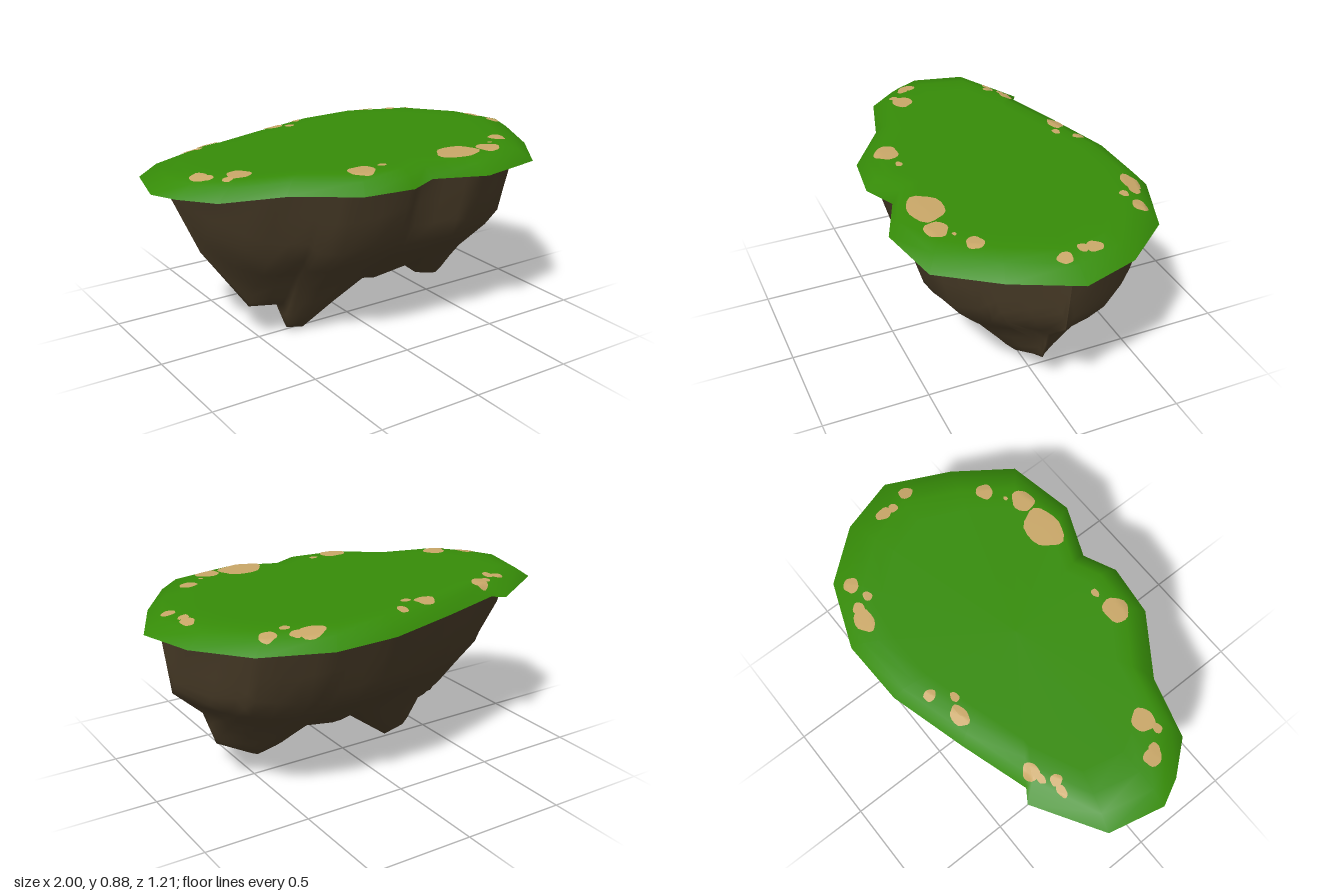
import * as THREE from 'three';

const RIM_Y = 0.805;
// Grass outline as x, z: along the back from left tip to right tip, then back along the front
const OUTLINE = [[-1, 0.01], [-0.94, -0.25], [-0.63, -0.44], [-0.57, -0.4], [-0.25, -0.5], [0.11, -0.6],
  [0.42, -0.61], [0.73, -0.49], [0.92, -0.26], [1, 0], [0.86, 0.29], [0.68, 0.54], [0.36, 0.6],
  [0.12, 0.5], [-0.03, 0.57], [-0.27, 0.54], [-0.54, 0.355], [-0.82, 0.275], [-0.94, 0.13]];
// The same outline without the notch, for the inner rings
const CORE = OUTLINE.map((p, i) => (i === 2 ? [-0.62, -0.4] : p));
// Grass height at each fraction of the outline
const GRASS = [[0, 0.875], [0.72, 0.875], [0.83, 0.874], [0.92, 0.857], [1, RIM_Y]];

// Rock rim: x as a fraction of the half length, z as is
const MID_Z = 0.02;
const ROCK_BACK = [[-1, MID_Z], [-0.91, -0.21], [-0.63, -0.35], [-0.27, -0.455], [0.12, -0.54],
  [0.46, -0.55], [0.76, -0.465], [0.95, -0.25], [1, MID_Z]];
const ROCK_FRONT = [[-1, MID_Z], [-0.93, 0.12], [-0.81, 0.25], [-0.54, 0.325], [-0.27, 0.49], [-0.03, 0.52],
  [0.13, 0.46], [0.37, 0.54], [0.68, 0.48], [0.86, 0.26], [1, MID_Z]];
// Rock's lower edge as x, y
const KEEL = [[-0.93, 0.81], [-0.79, 0.5], [-0.56, 0.18], [-0.4, 0.15], [-0.36, 0.02], [-0.27, 0.0],
  [0, 0.2], [0.1, 0.175], [0.3, 0.21], [0.41, 0.125], [0.5, 0.1], [0.68, 0.2], [0.74, 0.37],
  [0.88, 0.5], [0.92, 0.81]];
// Rock's half length to each side and relative width, by height
const REACH_LEFT = [[0.18, 0.56], [0.5, 0.79], [0.81, 0.93]];
const REACH_RIGHT = [[0.2, 0.68], [0.37, 0.74], [0.5, 0.88], [0.81, 0.92]];
const WIDTH = [[0, 0.14], [0.09, 0.28], [0.31, 0.5], [0.42, 0.7], [0.47, 0.81], [0.81, 1]];

// Linear interpolation in a list of [input, output]
function lerpTable(table, x) {
  let i = 1;
  while (i < table.length - 1 && x > table[i][0]) i++;
  const [x0, y0] = table[i - 1], [x1, y1] = table[i];
  return y0 + (y1 - y0) * THREE.MathUtils.clamp((x - x0) / (x1 - x0), 0, 1);
}

// Smooth skin over rows of points
function skin(rows, closed) {
  const n = rows[0].length, index = [];
  const last = closed ? rows.length : rows.length - 1;
  for (let i = 0; i < last; i++) {
    const p = i * n, q = ((i + 1) % rows.length) * n;
    for (let j = 0; j < n - 1; j++) {
      index.push(p + j, p + j + 1, q + j, q + j, p + j + 1, q + j + 1);
    }
  }
  const g = new THREE.BufferGeometry();
  g.setAttribute('position', new THREE.Float32BufferAttribute(rows.flat(2), 3));
  g.setIndex(index);
  g.computeVertexNormals();
  return g;
}

// Rock: cross-sections from left to right, each running front rim, keel, back rim
function rockGeometry() {
  const steps = [0, 0.2, 0.4, 0.55, 0.68, 0.8, 0.9, 0.97, 1];
  const stations = [];
  KEEL.forEach(([x, y], i) => {
    if (i) stations.push([(x + KEEL[i - 1][0]) / 2, (y + KEEL[i - 1][1]) / 2]);
    stations.push([x, y]);
  });
  return skin(stations.map(([x, bottom]) => {
    const side = (outline) => steps.map((u) => {
      const y = 0.81 + (bottom - 0.81) * u;
      const along = x / lerpTable(x < 0 ? REACH_LEFT : REACH_RIGHT, y);
      const s = lerpTable(WIDTH, y) * Math.sqrt(1 - u ** 6);
      return [x, y, MID_Z + (lerpTable(outline, along) - MID_Z) * s];
    });
    return [...side(ROCK_FRONT), ...side(ROCK_BACK).reverse().slice(1)];
  }), false);
}

// Grass: flat top with a bevelled, overhanging rim
function grassGeometry() {
  const rings = [...GRASS].reverse();
  return skin(OUTLINE.map((rim, i) => rings.map(([k, y]) => {
    const [x, z] = k === 1 ? rim : CORE[i];
    return [x * k, y, z * k];
  })), true);
}

// Height of the grass at x, z
function grassHeight(x, z) {
  let k = 0;
  CORE.forEach(([ax, az], i) => {
    const [bx, bz] = CORE[(i + 1) % CORE.length];
    const det = ax * bz - az * bx;
    const a = (x * bz - z * bx) / det, b = (ax * z - az * x) / det;
    if (a >= 0 && b >= 0) k = a + b;
  });
  return lerpTable(GRASS, k);
}

// Bare earth patch: a thin irregular disc draped on the grass
function patchGeometry(cx, cz, rx, rz, seed) {
  const g = new THREE.RingGeometry(0.001, 1, 18, 4).rotateX(-Math.PI / 2);
  const p = g.attributes.position;
  for (let i = 0; i < p.count; i++) {
    const a = Math.atan2(p.getZ(i), p.getX(i));
    const w = 1 + 0.06 * Math.sin(3 * a + seed) + 0.04 * Math.sin(5 * a + seed * 2);
    const x = cx + p.getX(i) * rx * w, z = cz + p.getZ(i) * rz * w;
    p.setXYZ(i, x, grassHeight(x, z) + 0.004, z);
  }
  g.computeVertexNormals();
  return g;
}

// Patches as centre x, z and radii
const PATCHES = [
  [-0.155, -0.435, 0.052, 0.036], [-0.075, -0.4, 0.025, 0.018], [0, -0.48, 0.026, 0.028],
  [0.465, -0.495, 0.062, 0.042], [0.53, -0.48, 0.03, 0.027], [0.55, -0.415, 0.025, 0.02],
  [0.645, -0.44, 0.04, 0.034], [0.845, -0.11, 0.03, 0.04], [0.84, -0.06, 0.024, 0.024],
  [0.87, 0.035, 0.032, 0.034], [0.64, 0.325, 0.042, 0.038], [0.32, 0.42, 0.108, 0.08],
  [0.49, 0.435, 0.058, 0.05], [-0.2, 0.415, 0.064, 0.056], [-0.08, 0.395, 0.022, 0.016],
  [-0.665, 0.17, 0.055, 0.05], [-0.73, 0.195, 0.025, 0.02], [-0.815, 0.095, 0.038, 0.043],
  [-0.79, 0.125, 0.026, 0.025], [-0.54, -0.35, 0.042, 0.034], [-0.635, -0.29, 0.026, 0.026],
  [-0.685, -0.3, 0.032, 0.018], [-0.59, -0.335, 0.025, 0.016], [0.55, 0.38, 0.012, 0.009],
];

export function createModel() {
  const material = (name, color, side = THREE.FrontSide) => {
    const m = new THREE.MeshStandardMaterial({ color, side });
    m.name = name;
    return m;
  };
  const rock = material('rock brown', 0x483b27, THREE.DoubleSide);
  const grass = material('grass green', 0x368c08, THREE.DoubleSide);
  const earth = material('bare earth', 0xc9a768);

  const group = new THREE.Group();
  group.name = 'floatingIsland';
  const add = (name, geometry, mat, parent = group) => {
    const mesh = new THREE.Mesh(geometry, mat);
    mesh.name = name;
    parent.add(mesh);
  };
  add('rockBase', rockGeometry(), rock);
  add('grassTop', grassGeometry(), grass);
  const patches = new THREE.Group();
  patches.name = 'earthPatches';
  PATCHES.forEach((p, i) => add('earthPatch', patchGeometry(...p, i * 1.7), earth, patches));
  group.add(patches);
  return group;
}
